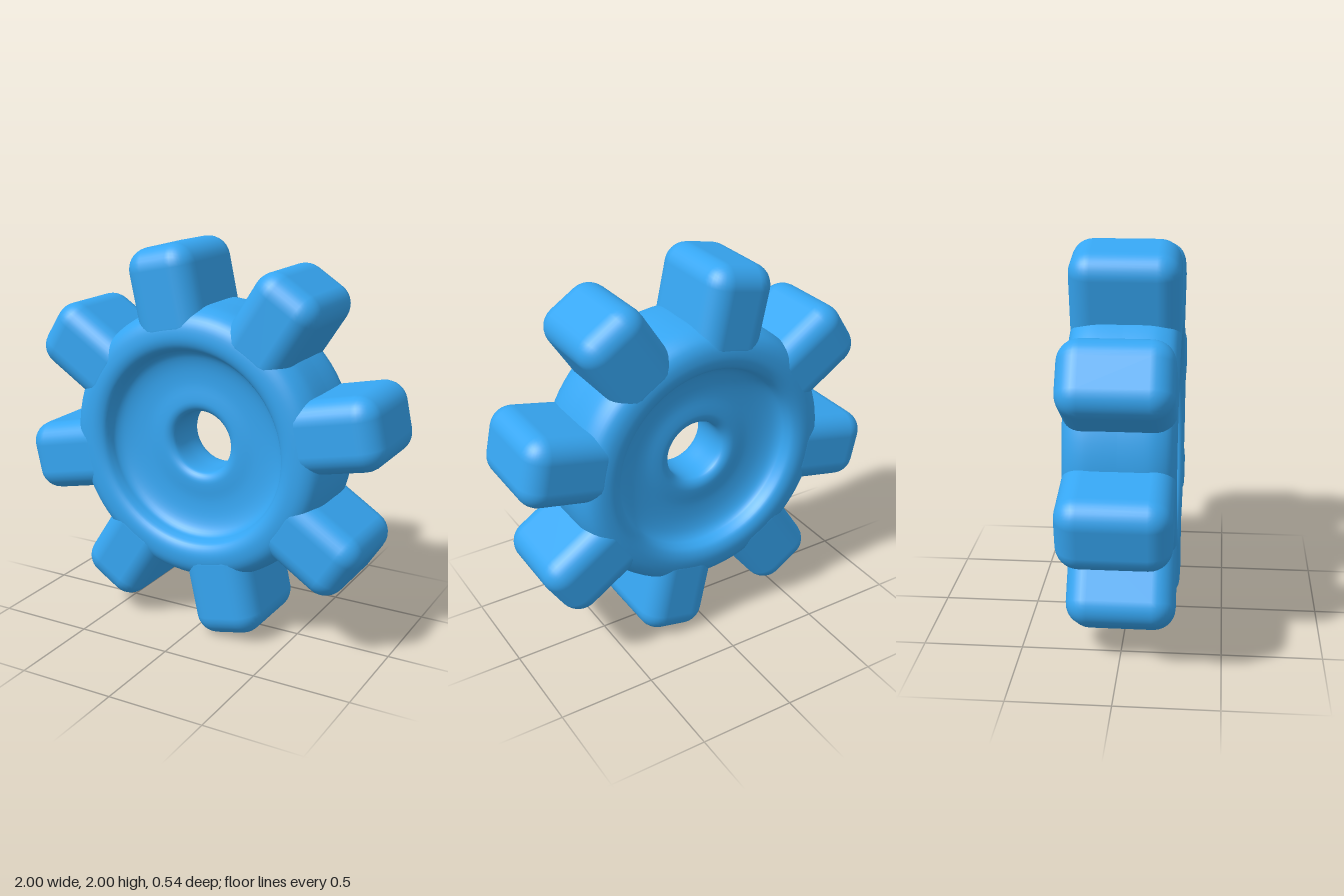
import * as THREE from 'three';
import { RoundedBoxGeometry } from 'three/addons/geometries/RoundedBoxGeometry.js';

const TEETH = 8;
const TILT = THREE.MathUtils.degToRad(12.2);

// Half profile (radius, z) from the outer rim over the front face and into the bore
const HALF_PROFILE = [
  [0.707, 0], [0.707, 0.1], [0.7, 0.17], [0.672, 0.23], [0.63, 0.26], [0.58, 0.27],
  [0.54, 0.266], [0.508, 0.248], [0.492, 0.215], [0.482, 0.185], [0.45, 0.158],
  [0.39, 0.14], [0.31, 0.134], [0.24, 0.14], [0.2, 0.14], [0.172, 0.125], [0.16, 0.095], [0.16, 0],
];

function createWheelGeometry() {
  const curve = new THREE.SplineCurve(HALF_PROFILE.map(([r, z]) => new THREE.Vector2(r, z)));
  const front = curve.getPoints(54);
  // The back face mirrors the front and closes the loop
  const back = front.slice(0, -1).reverse().map((p) => new THREE.Vector2(p.x, -p.y));
  return new THREE.LatheGeometry([...front, ...back], 80).rotateX(Math.PI / 2);
}

export function createModel() {
  const group = new THREE.Group();
  group.name = 'gear';
  const material = new THREE.MeshStandardMaterial({ color: 0x36a6f2 });

  const gear = new THREE.Group();
  gear.name = 'gearWheel';
  gear.position.y = 1.0;
  group.add(gear);

  // Dished wheel with a through bore
  const wheel = new THREE.Mesh(createWheelGeometry(), material);
  wheel.name = 'wheelBody';
  gear.add(wheel);

  // Soft-edged teeth rooted inside the rim
  const inner = 0.5, tip = 1.006;
  const toothGeometry = new RoundedBoxGeometry(tip - inner, 0.366, 0.536, 4, 0.11);
  toothGeometry.translate((tip + inner) / 2, 0, 0);
  for (let i = 0; i < TEETH; i++) {
    const tooth = new THREE.Mesh(toothGeometry, material);
    tooth.name = `tooth${i + 1}`;
    tooth.rotation.z = TILT + (i * Math.PI * 2) / TEETH;
    gear.add(tooth);
  }
  return group;
}
